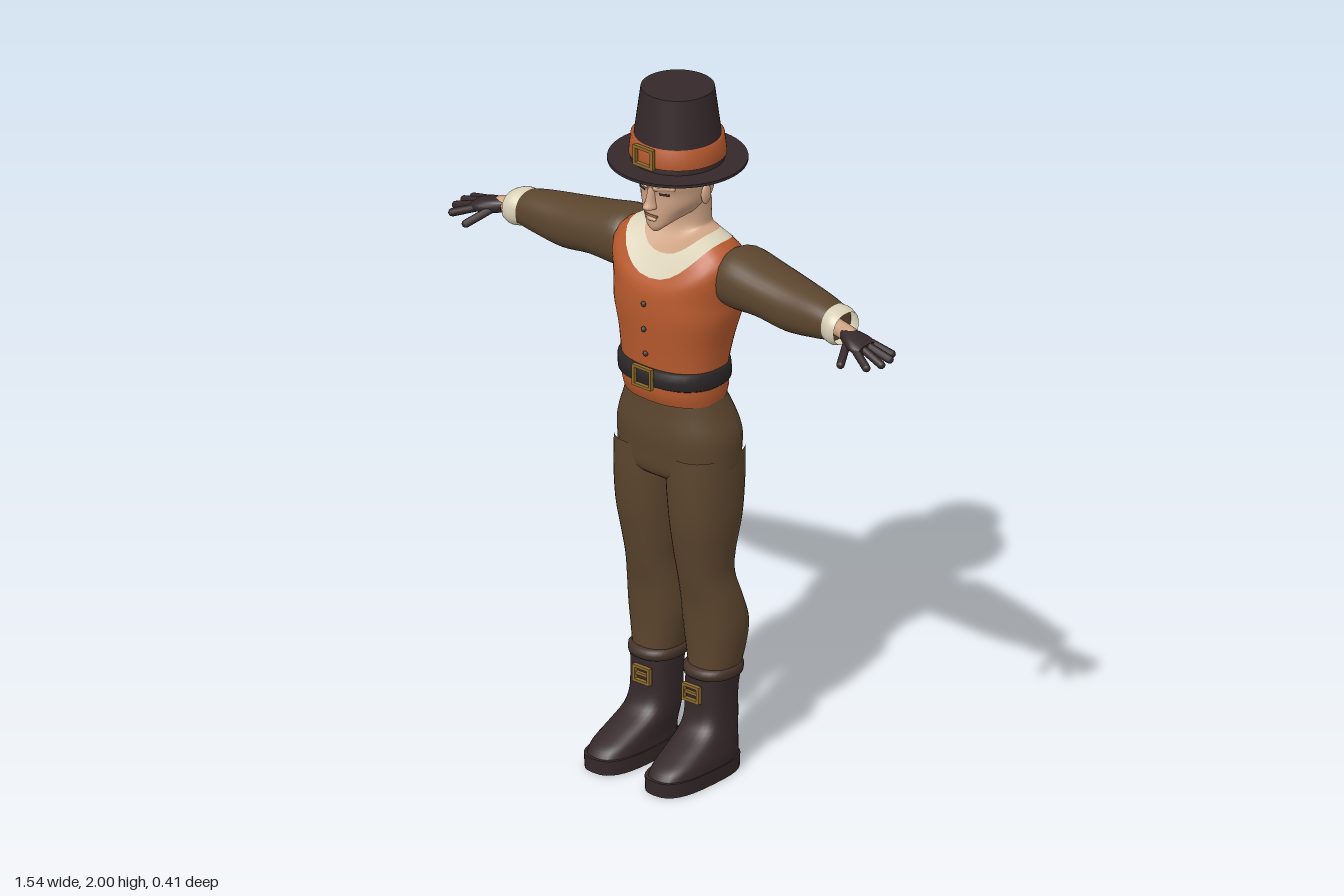
import * as THREE from 'three';

const mat = (name, color, side = THREE.FrontSide) => {
  const m = new THREE.MeshStandardMaterial({ color, side });
  m.name = name;
  return m;
};

// one cross-section: x range, z range, and height at front / sides / back
const R = (y, x0, x1, zF, zB, yS = y, yB = y) => [y, yS, yB, (x0 + x1) / 2, (x1 - x0) / 2, (zF + zB) / 2, (zF - zB) / 2];

// smooth skin through closed cross-sections, ordered bottom to top
function loft(rows, { n = 2.3, seg = 32, sub = 4, capLow = false, capHigh = false } = {}) {
  const spline = (a, b, c, d, t) => b + 0.5 * t * (c - a + t * (2 * a - 5 * b + 4 * c - d + t * (3 * (b - c) + d - a)));
  const fine = [];
  for (let i = 0; i < rows.length - 1; i++) {
    const a = rows[Math.max(i - 1, 0)], b = rows[i], c = rows[i + 1], d = rows[Math.min(i + 2, rows.length - 1)];
    for (let s = 0; s < sub; s++) fine.push(b.map((v, k) => spline(a[k], v, c[k], d[k], s / sub)));
  }
  fine.push(rows[rows.length - 1]);
  const pos = [], idx = [];
  const put = ([yF, yS, yB, cx, w, cz, d]) => {
    for (let j = 0; j < seg; j++) {
      const t = (j / seg) * Math.PI * 2, s = Math.sin(t), c = Math.cos(t);
      const pw = (v) => Math.sign(v) * Math.pow(Math.abs(v), 2 / n);
      pos.push(cx + w * pw(s), yS * s * s + (c > 0 ? yF : yB) * c * c, cz + d * pw(c));
    }
  };
  fine.forEach(put);
  for (let i = 0; i < fine.length - 1; i++) {
    for (let j = 0; j < seg; j++) {
      const a = i * seg + j, b = i * seg + (j + 1) % seg;
      idx.push(a, b, b + seg, a, b + seg, a + seg);
    }
  }
  const cap = (row, up) => {
    const base = pos.length / 3;
    put(row);
    pos.push(row[3], row[1], row[5]);
    for (let j = 0; j < seg; j++) {
      const a = base + j, b = base + (j + 1) % seg;
      idx.push(base + seg, up ? a : b, up ? b : a);
    }
  };
  if (capLow) cap(fine[0], false);
  if (capHigh) cap(fine[fine.length - 1], true);
  const g = new THREE.BufferGeometry();
  g.setAttribute('position', new THREE.Float32BufferAttribute(pos, 3));
  g.setIndex(idx);
  g.computeVertexNormals();
  return g;
}

// sideways loft for arms; rows are [x, yTop, yBottom, zFront, zBack]
function armLoft(side, rows, opt) {
  const g = loft(rows.map(([x, t, b, f, k]) => {
    const c = -side * (t + b) / 2, h = (t - b) / 2;
    return R(x, c - h, c + h, f, k);
  }), opt);
  return g.rotateZ(-side * Math.PI / 2);
}

// rounded rod between two points
function rod(a, b, r) {
  const p = new THREE.Vector3(...a), q = new THREE.Vector3(...b), dir = q.clone().sub(p);
  const g = new THREE.CapsuleGeometry(r, dir.length(), 5, 10);
  g.applyQuaternion(new THREE.Quaternion().setFromUnitVectors(new THREE.Vector3(0, 1, 0), dir.normalize()));
  return g.translate(...p.add(q).multiplyScalar(0.5).toArray());
}

// rectangular buckle frame with a centre prong
function buckle(w, h, bar) {
  const rect = (S, a, b) => new S([[-a, -b], [a, -b], [a, b], [-a, b]].map((p) => new THREE.Vector2(...p)));
  const s = rect(THREE.Shape, w, h);
  s.holes.push(rect(THREE.Path, w - bar, h - bar));
  return new THREE.ExtrudeGeometry(s, { depth: 0.012, bevelEnabled: false });
}

export function createModel() {
  const root = new THREE.Group();
  const skin = mat('skin', 0xcda283), cream = mat('cream linen', 0xdad1b8, THREE.DoubleSide);
  const orange = mat('orange cloth', 0xb85a2e), brown = mat('brown cloth', 0x5b452e);
  const dark = mat('dark leather', 0x35282a), black = mat('belt leather', 0x2c2728);
  const gold = mat('old brass', 0x8c6a2c), lip = mat('lip', 0x9a6d55), cuffMat = mat('boot cuff', 0x46342a);
  const add = (name, geo, m, x = 0, y = 0, z = 0) => {
    const mesh = new THREE.Mesh(geo, m);
    mesh.name = name;
    mesh.position.set(x, y, z);
    root.add(mesh);
    return mesh;
  };
  const sym = (y, w, zF, zB, yS, yB) => R(y, -w, w, zF, zB, yS, yB);

  // torso, each band starting where the last one ends
  const neckline = sym(1.47, 0.148, 0.1, -0.145, 1.575, 1.535);
  const collarTop = sym(1.53, 0.1, 0.055, -0.128, 1.585, 1.565);
  add('vest', loft([
    sym(1.105, 0.148, 0.1, -0.115), sym(1.14, 0.153, 0.11, -0.125), sym(1.2, 0.154, 0.11, -0.122),
    sym(1.28, 0.164, 0.116, -0.142), sym(1.36, 0.184, 0.122, -0.162), sym(1.42, 0.188, 0.12, -0.169),
    sym(1.45, 0.196, 0.112, -0.163, 1.53, 1.49), neckline,
  ], { capLow: true }), orange);
  add('collar', loft([neckline, collarTop]), cream);
  add('neck', loft([
    collarTop, sym(1.565, 0.07, 0.005, -0.118, 1.59, 1.585), sym(1.61, 0.065, -0.01, -0.115), sym(1.67, 0.066, 0, -0.114),
  ]), skin);
  for (const y of [1.25, 1.325, 1.4]) {
    add('vestButton', new THREE.SphereGeometry(0.008, 10, 8), cuffMat, 0, y, y < 1.3 ? 0.114 : 0.122);
  }
  add('belt', loft([
    sym(1.158, 0.15, 0.105, -0.115), sym(1.162, 0.16, 0.122, -0.132), sym(1.206, 0.16, 0.122, -0.13), sym(1.21, 0.15, 0.105, -0.115),
  ], { sub: 2 }), black);
  add('beltBuckle', buckle(0.034, 0.031, 0.008), gold, 0, 1.184, 0.12);

  // head and face
  add('head', loft([
    sym(1.602, 0.03, 0.08, -0.05, 1.627, 1.64), sym(1.615, 0.05, 0.09, -0.09, 1.64, 1.65),
    sym(1.645, 0.067, 0.092, -0.108, 1.662, 1.668), sym(1.685, 0.085, 0.09, -0.117),
    sym(1.72, 0.092, 0.09, -0.122), sym(1.75, 0.095, 0.1, -0.124), sym(1.8, 0.095, 0.1, -0.122), sym(1.85, 0.08, 0.08, -0.1),
  ], { n: 2.2, capLow: true, capHigh: true }), skin);
  add('nose', loft([
    sym(1.673, 0.012, 0.1, 0.07), sym(1.68, 0.019, 0.121, 0.07), sym(1.7, 0.013, 0.112, 0.07), sym(1.74, 0.01, 0.1, 0.07),
  ], { n: 1.8, seg: 14, capLow: true, capHigh: true }), skin);
  add('mouth', new THREE.BoxGeometry(0.042, 0.006, 0.008), lip, 0, 1.653, 0.089);
  add('lowerLip', new THREE.SphereGeometry(0.016, 12, 8).scale(1.1, 0.4, 0.5), skin, 0, 1.643, 0.09);
  for (const s of [1, -1]) {
    add('eye', new THREE.BoxGeometry(0.028, 0.007, 0.008), dark, s * 0.038, 1.722, 0.08).rotation.y = s * 0.35;
    add('brow', rod([s * 0.016, 1.738, 0.092], [s * 0.06, 1.742, 0.072], 0.008), skin);
    add('ear', new THREE.SphereGeometry(0.03, 14, 10).scale(0.3, 1, 0.6), skin, s * 0.094, 1.705, -0.025);
  }

  // hat
  const lathe = (pts) => new THREE.LatheGeometry(pts.map((p) => new THREE.Vector2(...p)), 48);
  const crown = new THREE.CylinderGeometry(0.1, 0.128, 0.21, 48);
  add('hatCrown', crown, dark, 0, 1.895, -0.017);
  add('hatBrim', new THREE.CylinderGeometry(0.19, 0.19, 0.008, 48), dark, 0, 1.788, -0.017);
  add('hatBand', lathe([[0.12, 1.808], [0.133, 1.808], [0.127, 1.862], [0.115, 1.862]]), orange, 0, 0, -0.017);
  add('hatBuckle', buckle(0.035, 0.03, 0.009), gold, 0, 1.836, 0.115);

  // trousers
  add('trouserSeat', loft([
    sym(0.865, 0.12, 0.06, -0.1), sym(0.89, 0.178, 0.088, -0.136), sym(0.95, 0.187, 0.096, -0.147),
    sym(1.01, 0.184, 0.1, -0.15), sym(1.07, 0.163, 0.094, -0.132), sym(1.12, 0.145, 0.09, -0.108),
  ], { capLow: true, capHigh: true }), brown);

  for (const s of [1, -1]) {
    const L = (y, a, b, f, k) => (s > 0 ? R(y, a, b, f, k) : R(y, -b, -a, f, k));

    // leg and boot
    add('trouserLeg', loft([
      L(0.29, 0.034, 0.165, 0.015, -0.12), L(0.36, 0.02, 0.177, 0.017, -0.138), L(0.43, 0.01, 0.184, 0.022, -0.145),
      L(0.5, 0.012, 0.179, 0.03, -0.125), L(0.58, 0.018, 0.166, 0.048, -0.102), L(0.65, 0.013, 0.171, 0.062, -0.105),
      L(0.75, 0.006, 0.184, 0.08, -0.124), L(0.86, 0, 0.187, 0.089, -0.136), L(0.95, 0, 0.184, 0.09, -0.14),
    ]), brown);
    add('bootCuff', loft([
      L(0.278, 0.035, 0.16, 0.01, -0.11), L(0.282, 0.024, 0.173, 0.028, -0.128),
      L(0.306, 0.022, 0.175, 0.028, -0.13), L(0.312, 0.034, 0.165, 0.012, -0.12),
    ], { sub: 2 }), cuffMat);
    add('boot', loft([
      L(0.04, 0.037, 0.181, 0.197, -0.108), L(0.065, 0.038, 0.18, 0.175, -0.108), L(0.095, 0.036, 0.174, 0.115, -0.108),
      L(0.13, 0.033, 0.168, 0.05, -0.108), L(0.17, 0.031, 0.165, 0.026, -0.109),
      L(0.23, 0.03, 0.164, 0.022, -0.11), L(0.29, 0.03, 0.168, 0.02, -0.118),
    ], { n: 2.6 }), dark);
    add('bootSole', loft([
      L(0, 0.034, 0.182, 0.203, -0.11), L(0.042, 0.033, 0.184, 0.205, -0.111),
    ], { n: 2.8, sub: 1, capLow: true, capHigh: true }), dark);
    add('bootBuckle', buckle(0.03, 0.025, 0.008), gold, s * 0.088, 0.236, 0.022);
    add('bootBuckleBar', new THREE.BoxGeometry(0.056, 0.008, 0.009), gold, s * 0.088, 0.236, 0.026);

    // arm
    add('sleeve', armLoft(s, [
      [0.15, 1.545, 1.42, 0.025, -0.125], [0.2, 1.566, 1.4, 0.04, -0.145], [0.3, 1.548, 1.402, 0.036, -0.138],
      [0.4, 1.533, 1.39, 0.03, -0.125], [0.5, 1.521, 1.404, 0.025, -0.1], [0.56, 1.508, 1.416, 0.018, -0.083],
    ], { capHigh: true }), brown);
    add('sleeveCuff', armLoft(s, [
      [0.545, 1.512, 1.412, 0.022, -0.088], [0.57, 1.512, 1.408, 0.028, -0.087], [0.592, 1.503, 1.416, 0.024, -0.078],
    ]), cream);
    add('wrist', rod([s * 0.53, 1.462, -0.025], [s * 0.62, 1.457, -0.008], 0.024), skin);

    // gloved hand
    add('glovePalm', armLoft(s, [
      [0.605, 1.476, 1.438, 0.014, -0.028], [0.63, 1.475, 1.432, 0.03, -0.032],
      [0.665, 1.467, 1.428, 0.045, -0.04], [0.695, 1.455, 1.427, 0.042, -0.038],
    ], { seg: 20, capLow: true, capHigh: true }), dark);
    const fingers = [
      [[0.685, 1.444, -0.028], [0.745, 1.428, -0.037]], [[0.69, 1.444, -0.007], [0.758, 1.424, -0.014]],
      [[0.69, 1.442, 0.014], [0.758, 1.42, 0.02]], [[0.68, 1.441, 0.034], [0.738, 1.418, 0.058]],
      [[0.635, 1.445, 0.02], [0.668, 1.415, 0.083]],
    ];
    for (const [a, b] of fingers) add('gloveFinger', rod([s * a[0], a[1], a[2]], [s * b[0], b[1], b[2]], 0.0115), dark);
  }
  return root;
}
